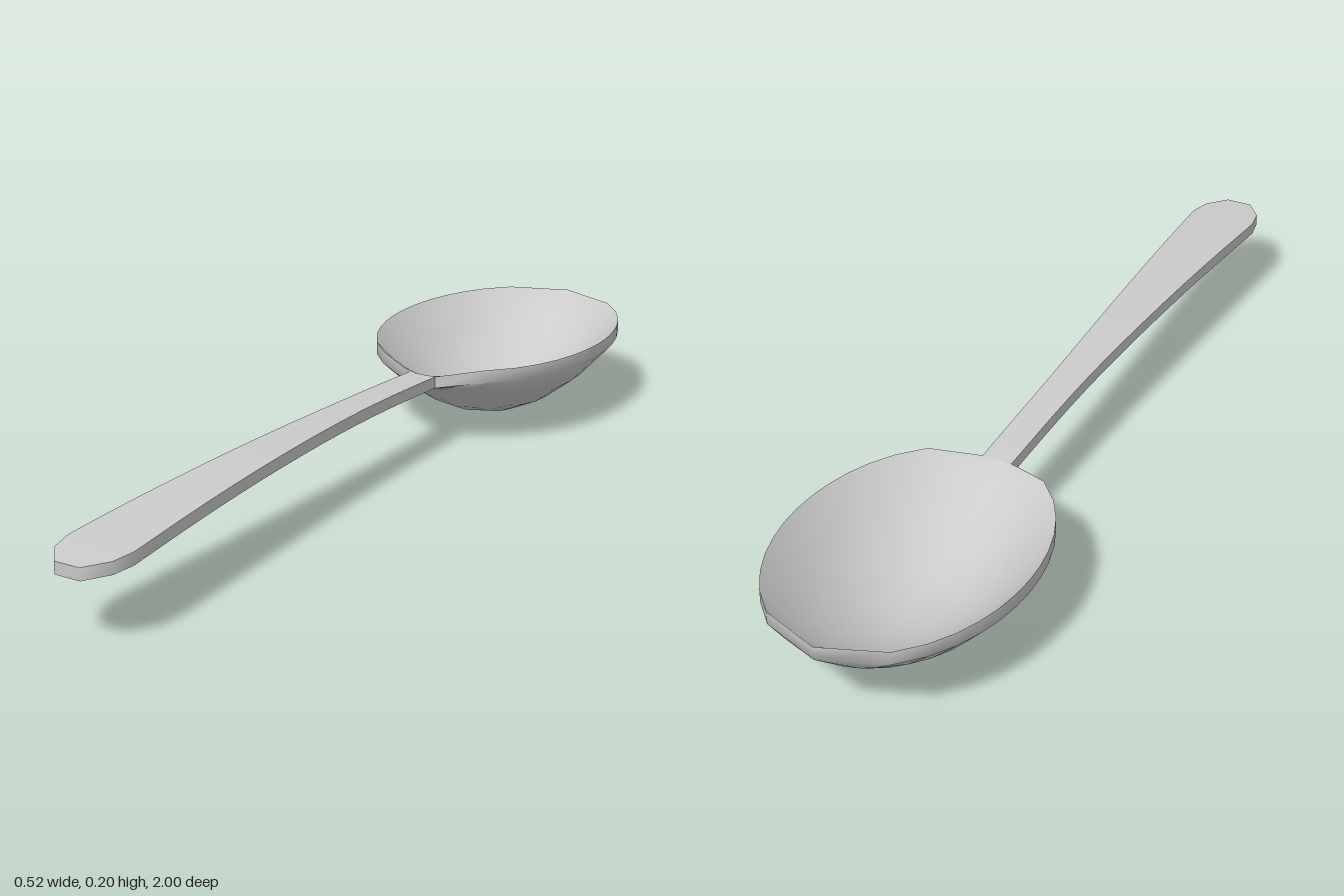
import * as THREE from 'three';
import { toCreasedNormals } from 'three/addons/utils/BufferGeometryUtils.js';

const material = new THREE.MeshStandardMaterial({ color: 0xcccccc });
const NECK_Z = -0.28, NECK_W = 0.034;

// Closed skin over sections running towards +z.
// Each section: { z, w: half width, bottom(u), top(u) } with u from -1 to 1.
function loft(name, sections, columns, capEnd) {
  const positions = [], index = [];
  const ring = 2 * (columns + 1);
  for (const { z, w, bottom, top } of sections) {
    for (let j = 0; j <= columns; j++) {
      const u = -1 + (2 * j) / columns;
      positions.push(u * w, bottom(u), z);
    }
    for (let j = columns; j >= 0; j--) {
      const u = -1 + (2 * j) / columns;
      positions.push(u * w, top(u), z);
    }
  }
  for (let i = 0; i < sections.length - 1; i++) {
    for (let k = 0; k < ring; k++) {
      const a = i * ring + k, b = i * ring + ((k + 1) % ring);
      index.push(a, b, a + ring, b, b + ring, a + ring);
    }
  }
  if (capEnd) {
    const s = (sections.length - 1) * ring;
    for (let k = 1; k < ring - 1; k++) index.push(s, s + k, s + k + 1);
  }
  const geometry = new THREE.BufferGeometry();
  geometry.setAttribute('position', new THREE.Float32BufferAttribute(positions, 3));
  geometry.setIndex(index);
  const mesh = new THREE.Mesh(toCreasedNormals(geometry, 1.0), material);
  mesh.name = name;
  return mesh;
}

// Gentle arch of the handle
const handleTop = (z) => 0.197 - 0.052 * (z - 0.35) ** 2;
const handleSection = (z, w) => ({
  z, w,
  top: () => handleTop(z),
  bottom: () => handleTop(z) - 0.027,
});

// Bowl: elliptical paraboloid shell whose last section narrows into the neck
function createBowl() {
  const rows = 14, depth = 0.165, thickness = 0.03;
  const sections = [];
  for (let i = 0; i < rows; i++) {
    const t = -1 + (2 * i) / rows;
    const k = 1 - t * t;
    const bottom = (u) => depth * (t * t + k * u * u);
    sections.push({
      z: -0.64 + 0.36 * t,
      w: 0.262 * Math.sqrt(k),
      bottom,
      top: (u) => bottom(u) + thickness,
    });
  }
  sections.push(handleSection(NECK_Z, NECK_W));
  return loft('bowl', sections, 8, false);
}

// Handle: flat bar widening towards a chamfered end
function createHandle() {
  const sections = [];
  const outline = new THREE.CatmullRomCurve3([
    [NECK_W, NECK_Z], [0.038, 0.05], [0.055, 0.45], [0.076, 0.85],
  ].map(([w, z]) => new THREE.Vector3(w, 0, z)));
  for (const p of outline.getPoints(15)) sections.push(handleSection(p.z, p.x));
  sections.push(handleSection(0.9, 0.078), handleSection(0.95, 0.068), handleSection(1, 0.03));
  return loft('handle', sections, 1, true);
}

export function createModel() {
  const spoon = new THREE.Group();
  spoon.name = 'spoon';
  spoon.add(createBowl(), createHandle());
  return spoon;
}
